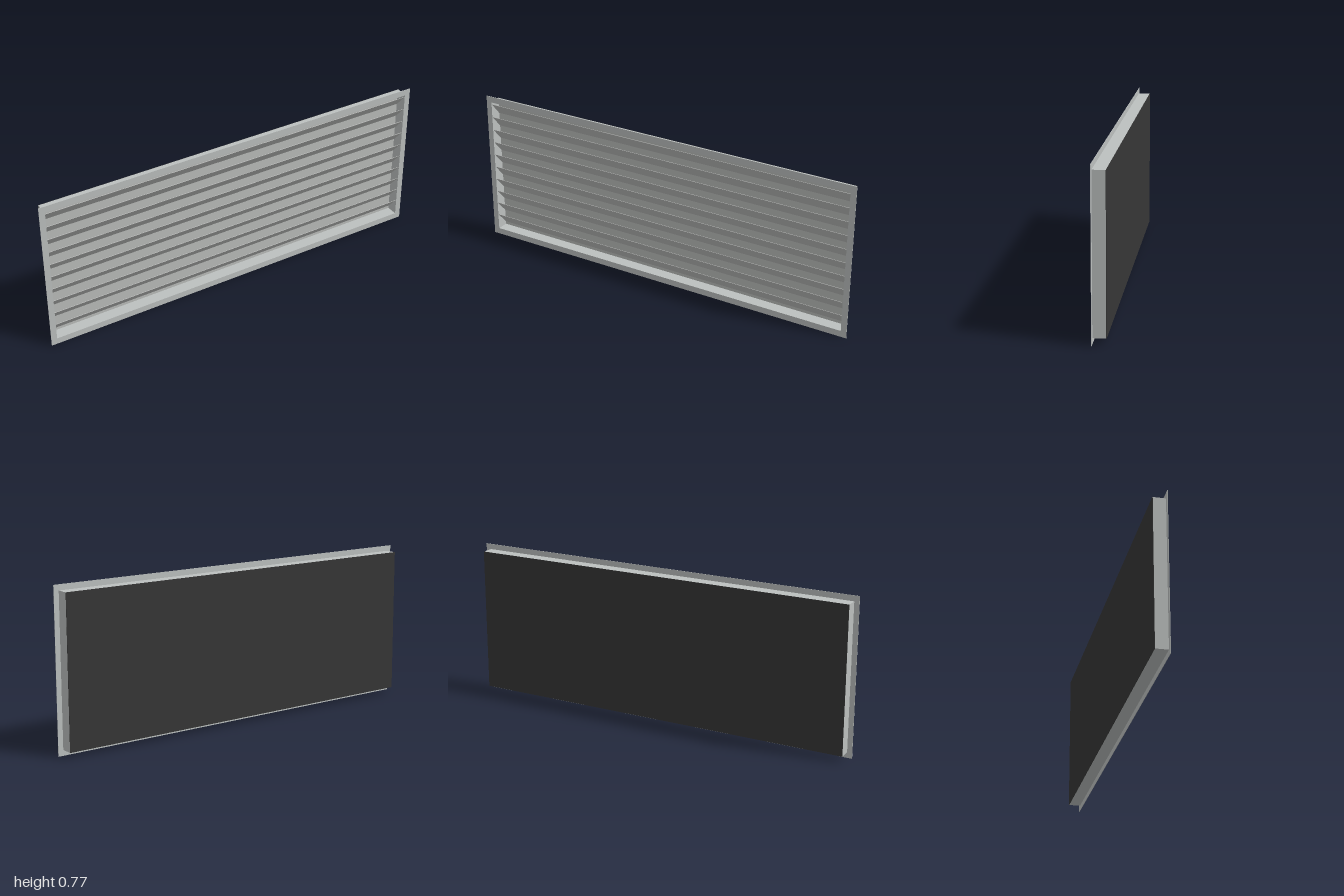
import * as THREE from 'three';

const BODY_W = 1.95, BODY_H = 0.716, WALL = 0.004, HEIGHT = 0.77, MID = HEIGHT / 2;
const FRONT = 0.031, BACK = -0.031;

// Rectangular ring, extruded along z
function ring(w, h, holeW, holeH, depth) {
  const rect = (Type, a, b) => {
    const r = new Type();
    r.moveTo(-a / 2, -b / 2);
    r.lineTo(a / 2, -b / 2);
    r.lineTo(a / 2, b / 2);
    r.lineTo(-a / 2, b / 2);
    r.closePath();
    return r;
  };
  const shape = rect(THREE.Shape, w, h);
  shape.holes.push(rect(THREE.Path, holeW, holeH));
  return new THREE.ExtrudeGeometry(shape, { depth, bevelEnabled: false });
}

export function createModel() {
  const group = new THREE.Group();
  group.name = 'louverGrille';
  const metal = new THREE.MeshStandardMaterial({ color: 0xbcc0bf });
  metal.name = 'pale grey metal';
  const slatMetal = new THREE.MeshStandardMaterial({ color: 0xbbbdbb });
  slatMetal.name = 'slat grey metal';
  const dark = new THREE.MeshStandardMaterial({ color: 0x363636 });
  dark.name = 'dark backing';

  const add = (name, geometry, material, y, z) => {
    const mesh = new THREE.Mesh(geometry, material);
    mesh.name = name;
    mesh.position.set(0, y, z);
    group.add(mesh);
    return mesh;
  };

  // Thin front flange and the duct collar behind it
  const innerW = BODY_W - 2 * WALL, innerH = BODY_H - 2 * WALL;
  add('flange', ring(2, HEIGHT, innerW, innerH, 0.002), metal, MID, FRONT - 0.002);
  add('collar', ring(BODY_W, BODY_H, innerW, innerH, FRONT - BACK - 0.004), metal, MID, BACK + 0.002);

  // Closed back: pale inside, dark outside
  add('innerBack', new THREE.BoxGeometry(innerW, innerH, 0.002), slatMetal, MID, BACK + 0.003);
  add('backPanel', new THREE.BoxGeometry(BODY_W, BODY_H, 0.002), dark, MID, BACK + 0.001);

  // Slats slope down from the front edge to the back
  const rise = 0.064, run = 0.054, count = 10, pitch = 0.0685;
  const slatGeo = new THREE.BoxGeometry(innerW, Math.hypot(rise, run), 0.002);
  for (let i = 0; i < count; i++) {
    const slat = add('slat' + (i + 1), slatGeo, slatMetal, 0.079 + i * pitch, 0.0005);
    slat.rotation.x = Math.atan2(run, rise);
  }
  return group;
}
